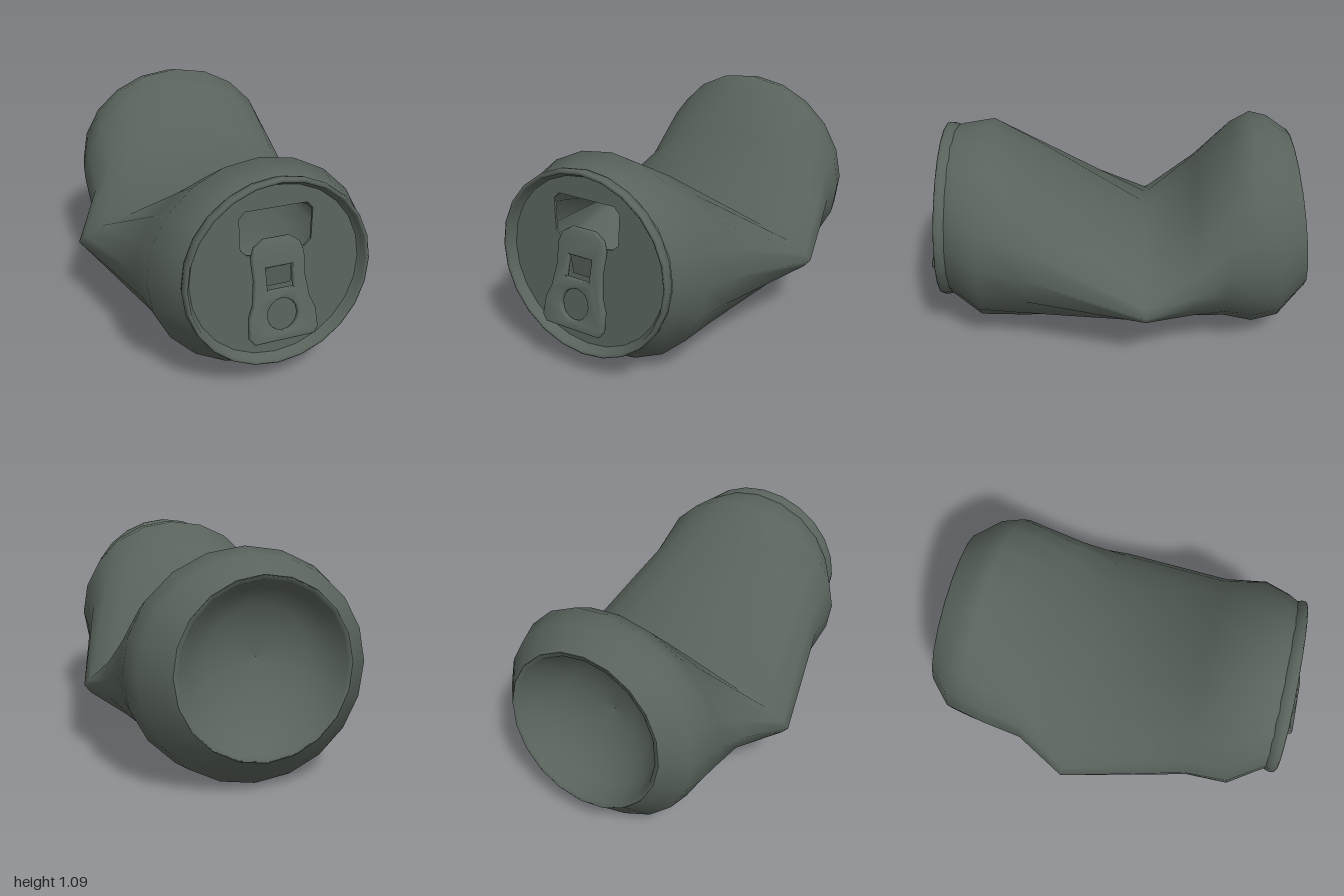
import * as THREE from 'three';
import { toCreasedNormals } from 'three/addons/utils/BufferGeometryUtils.js';

const metal = new THREE.MeshStandardMaterial({ color: 0x59635c, side: THREE.DoubleSide });
metal.name = 'dark grey green metal';

// Smooth loft of elliptical rings, each:
// [z, x, y, half width, height above, height below, z slope in x, z slope in y, pinch]
const SIDES = 20;
function loft(rings) {
  const pos = [], index = [];
  for (const [z, cx, cy, rx, up, down, kx, ky, pinch] of rings) {
    for (let j = 0; j < SIDES; j++) {
      const a = (j / SIDES) * Math.PI * 2, s = Math.sin(a);
      const x = rx * Math.cos(a);
      const y = Math.sign(s) * Math.pow(Math.abs(s), 1 + pinch) * (s > 0 ? up : down);
      pos.push(cx + x, cy + y, z + kx * x + ky * y);
    }
  }
  for (let i = 0; i < rings.length - 1; i++) {
    for (let j = 0; j < SIDES; j++) {
      const a = i * SIDES + j, b = i * SIDES + (j + 1) % SIDES;
      const c = a + SIDES, d = b + SIDES;
      index.push(a, c, b, b, c, d);
    }
  }
  const g = new THREE.BufferGeometry();
  g.setAttribute('position', new THREE.Float32BufferAttribute(pos, 3));
  g.setIndex(index);
  g.computeVertexNormals();
  return g;
}

function add(parent, name, geometry) {
  const mesh = new THREE.Mesh(geometry, metal);
  mesh.name = name;
  parent.add(mesh);
  return mesh;
}

const outline = (pts) => pts.map(([x, y]) => new THREE.Vector2(x, y));
const mirrored = (pts) => outline([...pts, ...pts.map(([x, y]) => [-x, y]).reverse()]);

export function createModel() {
  const model = new THREE.Group();
  model.name = 'crushedCan';

  // Crumpled wall, folded flat in the middle
  add(model, 'body', loft([
    [0.84, 0.17, 0.58, 0.44, 0.44, 0.44, -0.18, -0.06, 0],
    [0.80, 0.165, 0.575, 0.465, 0.455, 0.46, -0.18, -0.06, 0],
    [0.67, 0.13, 0.53, 0.54, 0.515, 0.515, -0.16, -0.08, 0],
    [0.46, 0.10, 0.47, 0.54, 0.45, 0.445, -0.16, -0.08, 0],
    [-0.15, 0, 0.335, 0.68, 0.165, 0.205, -0.125, 0, 0.35],
    [-0.40, 0, 0.42, 0.59, 0.42, 0.345, -0.1, 0, 0.25],
    [-0.57, -0.04, 0.51, 0.57, 0.52, 0.475, -0.08, 0, 0.08],
    [-0.69, -0.05, 0.54, 0.56, 0.55, 0.54, -0.1, 0.04, 0],
    [-0.80, -0.075, 0.55, 0.53, 0.515, 0.525, -0.12, 0.08, 0],
    [-0.92, -0.10, 0.585, 0.41, 0.405, 0.405, -0.15, 0.13, 0],
  ]));

  // Hollow dome at the base
  add(model, 'baseDome', loft([
    [0.92, 0.41], [0.915, 0.388], [0.83, 0.34], [0.76, 0.25], [0.715, 0.13], [0.70, 0.001],
  ].map(([z, r]) => [-z, -0.1, 0.585, r, r, r, -0.15, 0.13, 0])));

  // Lid assembly, leaning with the crumpled end
  const lid = new THREE.Group();
  lid.name = 'lid';
  lid.position.set(0.17, 0.58, 0.875);
  lid.lookAt(0.17 + 0.18, 0.58 + 0.06, 1.875);
  model.add(lid);

  const rim = new THREE.LatheGeometry(outline([
    [0.435, -0.05], [0.45, -0.035], [0.456, -0.01], [0.453, 0.012], [0.444, 0.018],
    [0.434, 0.01], [0.427, -0.015], [0.415, -0.03],
  ]), 24);
  rim.rotateX(Math.PI / 2);
  add(lid, 'rim', rim);

  // Panel with the drinking hole
  const disc = new THREE.Shape().absarc(0, 0, 0.42, 0, Math.PI * 2);
  disc.holes.push(new THREE.Path(mirrored([
    [0.07, 0.09], [0.14, 0.10], [0.172, 0.13], [0.178, 0.28], [0.15, 0.31],
  ])));
  const panel = add(lid, 'panel', new THREE.ExtrudeGeometry(disc, {
    depth: 0.012, bevelEnabled: false, curveSegments: 24,
  }));
  panel.position.z = -0.042;

  // Pull tab, lifted at its lower end
  const tabShape = new THREE.Shape(mirrored([
    [0.14, -0.28], [0.16, -0.255], [0.155, -0.17], [0.13, -0.11], [0.115, 0.0],
    [0.12, 0.10], [0.105, 0.145], [0.06, 0.175],
  ]));
  tabShape.holes.push(
    new THREE.Path().absarc(0, -0.17, 0.083, 0, Math.PI * 2, true),
    new THREE.Path(mirrored([[0.072, -0.06], [0.072, 0.062]])),
  );
  const tab = add(lid, 'pullTab', toCreasedNormals(new THREE.ExtrudeGeometry(tabShape, {
    depth: 0.012, bevelEnabled: true, bevelThickness: 0.009, bevelSize: 0.009,
    bevelSegments: 2, curveSegments: 8,
  }), 0.8));
  tab.position.set(-0.005, -0.01, 0.008);
  tab.rotation.x = -0.21;

  // Tongue behind the square gap, and the rivet holding it
  const tongue = add(lid, 'tabTongue', new THREE.BoxGeometry(0.13, 0.12, 0.008));
  tongue.position.z = -0.008;
  tongue.rotation.x = 0.2;
  const rivet = new THREE.CylinderGeometry(0.045, 0.055, 0.03, 12);
  rivet.rotateX(Math.PI / 2);
  add(lid, 'rivet', rivet).position.set(0, 0.01, -0.025);

  return model;
}
